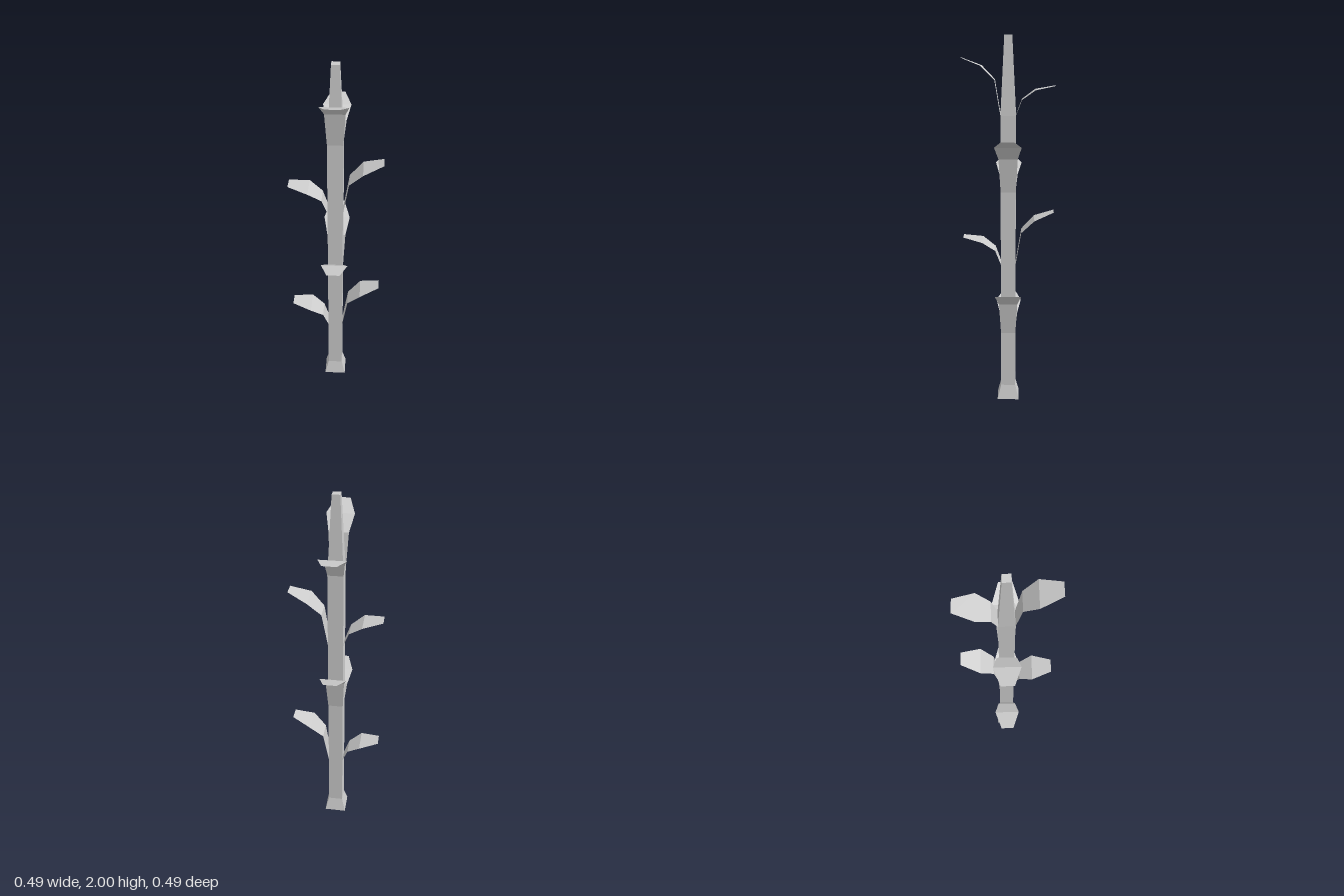
import * as THREE from 'three';

const barkMaterial = new THREE.MeshStandardMaterial({ color: 0xcccccc, flatShading: true });
const leafMaterial = new THREE.MeshStandardMaterial({ color: 0xcccccc, flatShading: true, side: THREE.DoubleSide });

// Square trunk: [half width, height] from the flared foot to the tapered top
function createTrunk() {
  const profile = [[0, 0], [0.06, 0], [0.04, 0.08], [0.04, 1.6], [0.02, 2], [0, 2]]
    .map(([half, y]) => new THREE.Vector2(half * Math.SQRT2, y));
  const trunk = new THREE.Mesh(new THREE.LatheGeometry(profile, 4, Math.PI / 4), barkMaterial);
  trunk.name = 'trunk';
  return trunk;
}

// Folded leaf pointing to +z; rows run from tip to base: [half width, reach, height]
function createLeaf(heights) {
  const halfWidths = [0.035, 0.07, 0.05, 0.04];
  const reaches = [0.243, 0.139, 0.07, 0.04];
  const geometry = new THREE.PlaneGeometry(1, 1, 1, 3);
  const position = geometry.attributes.position;
  for (let i = 0; i < position.count; i++) {
    const row = Math.floor(i / 2);
    position.setXYZ(i, (i % 2 ? 1 : -1) * halfWidths[row], heights[row], reaches[row]);
  }
  geometry.computeVertexNormals();
  return new THREE.Mesh(geometry, leafMaterial);
}

export function createModel() {
  const group = new THREE.Group();
  group.name = 'leafyStalk';
  group.add(createTrunk());

  const steep = [0.29, 0.25, 0.18, 0];
  const shallow = [0.15, 0.13, 0.08, 0];

  // Opposite pairs of leaves, turned a quarter from one level to the next
  const leaves = [
    ['leftLowerLeaf', 0.4, Math.PI / 2, steep],
    ['rightLowerLeaf', 0.4, -Math.PI / 2, shallow],
    ['frontLowerLeaf', 0.8, 0, shallow],
    ['backLowerLeaf', 0.8, Math.PI, steep],
    ['leftUpperLeaf', 1.2, Math.PI / 2, steep],
    ['rightUpperLeaf', 1.2, -Math.PI / 2, shallow],
    ['frontUpperLeaf', 1.6, 0, steep],
    ['backUpperLeaf', 1.6, Math.PI, shallow],
  ];
  for (const [name, y, turn, heights] of leaves) {
    const leaf = createLeaf(heights);
    leaf.name = name;
    leaf.position.y = y;
    leaf.rotation.y = turn;
    group.add(leaf);
  }
  return group;
}
